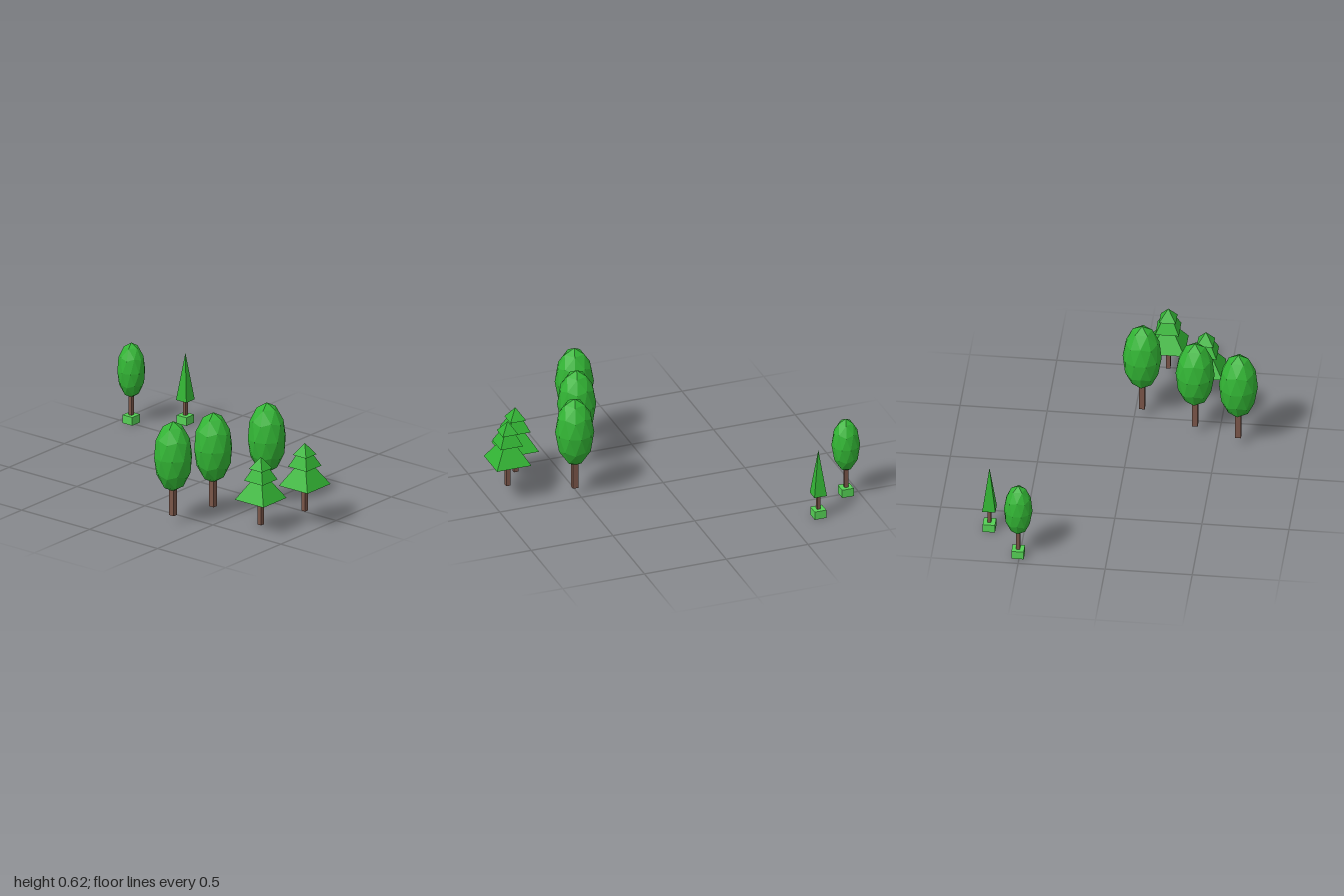
import * as THREE from 'three';

const material = (color) => new THREE.MeshStandardMaterial({ color, flatShading: true });

export function createModel() {
  const model = new THREE.Group();
  const leaf = material(0x32b434);
  const bark = material(0x795548);
  const base = material(0x55d055);

  const add = (parent, name, geometry, mat, y) => {
    const mesh = new THREE.Mesh(geometry, mat);
    mesh.name = name;
    mesh.position.y = y;
    parent.add(mesh);
    return mesh;
  };

  // Square block standing between two heights
  const block = (parent, name, width, y0, y1, mat) =>
    add(parent, name, new THREE.BoxGeometry(width, y1 - y0, width), mat, (y0 + y1) / 2);

  // Four-sided pyramid or frustum, sides facing the axes
  const pyramid = (parent, name, half, topHalf, y0, y1) => {
    const g = new THREE.CylinderGeometry(topHalf * Math.SQRT2, half * Math.SQRT2, y1 - y0, 4);
    g.rotateY(Math.PI / 4);
    return add(parent, name, g, leaf, (y0 + y1) / 2);
  };

  // Faceted egg-shaped crown with one corner pointing straight up
  const crown = (parent, radius, halfHeight, y) => {
    const g = new THREE.IcosahedronGeometry(1, 1);
    g.rotateZ(-Math.atan(2 / (1 + Math.sqrt(5))));
    g.scale(radius, halfHeight, radius);
    g.computeVertexNormals();
    return add(parent, 'crown', g, leaf, y);
  };

  const tree = (name, x, y, z) => {
    const group = new THREE.Group();
    group.name = name;
    group.position.set(x, y, z);
    model.add(group);
    return group;
  };

  // Three large round trees
  [[0.305, 0.62], [0.39, 0.362], [0.525, 0.043]].forEach(([x, z], i) => {
    const t = tree(`roundTree${i + 1}`, x, 0.05, z);
    block(t, 'trunk', 0.033, 0, 0.2, bark);
    crown(t, 0.112, 0.213, 0.357);
  });

  // Two tiered pines
  [[0.757, 0.03, 0.383], [0.893, 0.08, 0.152]].forEach(([x, y, z], i) => {
    const t = tree(`pineTree${i + 1}`, x, y, z);
    block(t, 'trunk', 0.026, 0, 0.17, bark);
    pyramid(t, 'lowerTier', 0.105, 0.036, 0.156, 0.27);
    pyramid(t, 'middleTier', 0.068, 0.034, 0.27, 0.34);
    pyramid(t, 'topTier', 0.048, 0, 0.34, 0.411);
  });

  // Small round tree in a planter
  const small = tree('pottedRoundTree', -0.921, 0, -0.508);
  block(small, 'planter', 0.071, 0, 0.05, base);
  block(small, 'trunk', 0.022, 0.05, 0.2, bark);
  crown(small, 0.082, 0.167, 0.321);

  // Slim cypress in a planter
  const cypress = tree('pottedCypress', -0.679, 0, -0.7);
  block(cypress, 'planter', 0.071, 0, 0.05, base);
  block(cypress, 'trunk', 0.02, 0.05, 0.15, bark);
  pyramid(cypress, 'crown', 0.038, 0, 0.142, 0.427);

  return model;
}
